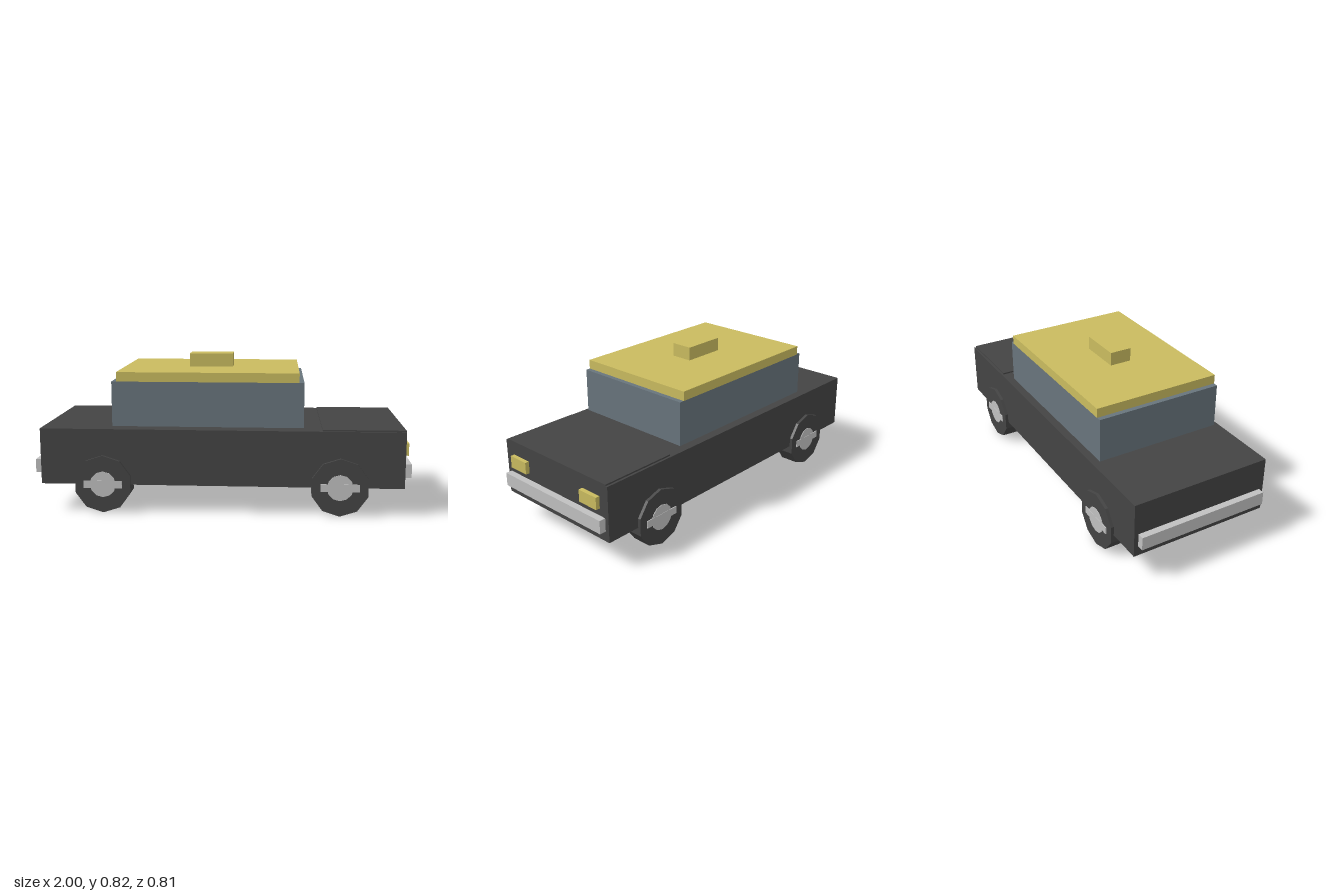
import * as THREE from 'three';

const mat = (name, color) => {
  const m = new THREE.MeshStandardMaterial({ color });
  m.name = name;
  return m;
};

export function createModel() {
  const car = new THREE.Group();
  car.name = 'car';
  const charcoal = mat('charcoal', 0x444444);
  const slate = mat('slate blue', 0x68747c);
  const yellow = mat('mustard yellow', 0xc9bb5f);
  const silver = mat('silver', 0xc0c0c0);

  // Box given by its extents along x, y and z
  const box = (parent, name, material, [x0, x1], [y0, y1], [z0, z1]) => {
    const mesh = new THREE.Mesh(new THREE.BoxGeometry(x1 - x0, y1 - y0, z1 - z0), material);
    mesh.position.set((x0 + x1) / 2, (y0 + y1) / 2, (z0 + z1) / 2);
    mesh.name = name;
    parent.add(mesh);
  };

  // Body, hood and cabin
  box(car, 'body', charcoal, [-0.965, 0.962], [0.151, 0.451], [-0.385, 0.385]);
  box(car, 'hood', charcoal, [0.53, 0.962], [0.44, 0.459], [-0.373, 0.373]);
  box(car, 'cabin', slate, [-0.582, 0.432], [0.462, 0.7], [-0.35, 0.35]);
  box(car, 'roof', yellow, [-0.556, 0.406], [0.7, 0.75], [-0.351, 0.351]);
  box(car, 'roofSign', yellow, [-0.195, 0.043], [0.75, 0.823], [-0.06, 0.06]);

  // Bumpers and headlights
  box(car, 'frontBumper', silver, [0.95, 0.998], [0.206, 0.278], [-0.362, 0.362]);
  box(car, 'rearBumper', silver, [-1, -0.95], [0.206, 0.278], [-0.362, 0.362]);
  box(car, 'leftHeadlight', yellow, [0.95, 0.985], [0.317, 0.383], [-0.327, -0.206]);
  box(car, 'rightHeadlight', yellow, [0.95, 0.985], [0.317, 0.383], [0.206, 0.327]);

  // Ten-sided wheels, each with a hub and cross bar running through the tyre
  const disc = (name, material, radius, width, sides) => {
    const geometry = new THREE.CylinderGeometry(radius, radius, width, sides).rotateX(Math.PI / 2);
    const flat = geometry.toNonIndexed();
    flat.computeVertexNormals();
    const mesh = new THREE.Mesh(flat, material);
    mesh.name = name;
    return mesh;
  };
  for (const x of [-0.631, 0.625]) {
    for (const side of [-1, 1]) {
      const wheel = new THREE.Group();
      wheel.name = (x > 0 ? 'front' : 'rear') + 'Wheel';
      wheel.position.set(x, 0.155, side * 0.349);
      wheel.add(disc('tyre', charcoal, 0.155, 0.105, 10));
      wheel.add(disc('hub', silver, 0.07, 0.111, 12));
      box(wheel, 'hubBar', silver, [-0.103, 0.103], [-0.02, 0.02], [-0.057, 0.057]);
      car.add(wheel);
    }
  }
  return car;
}
